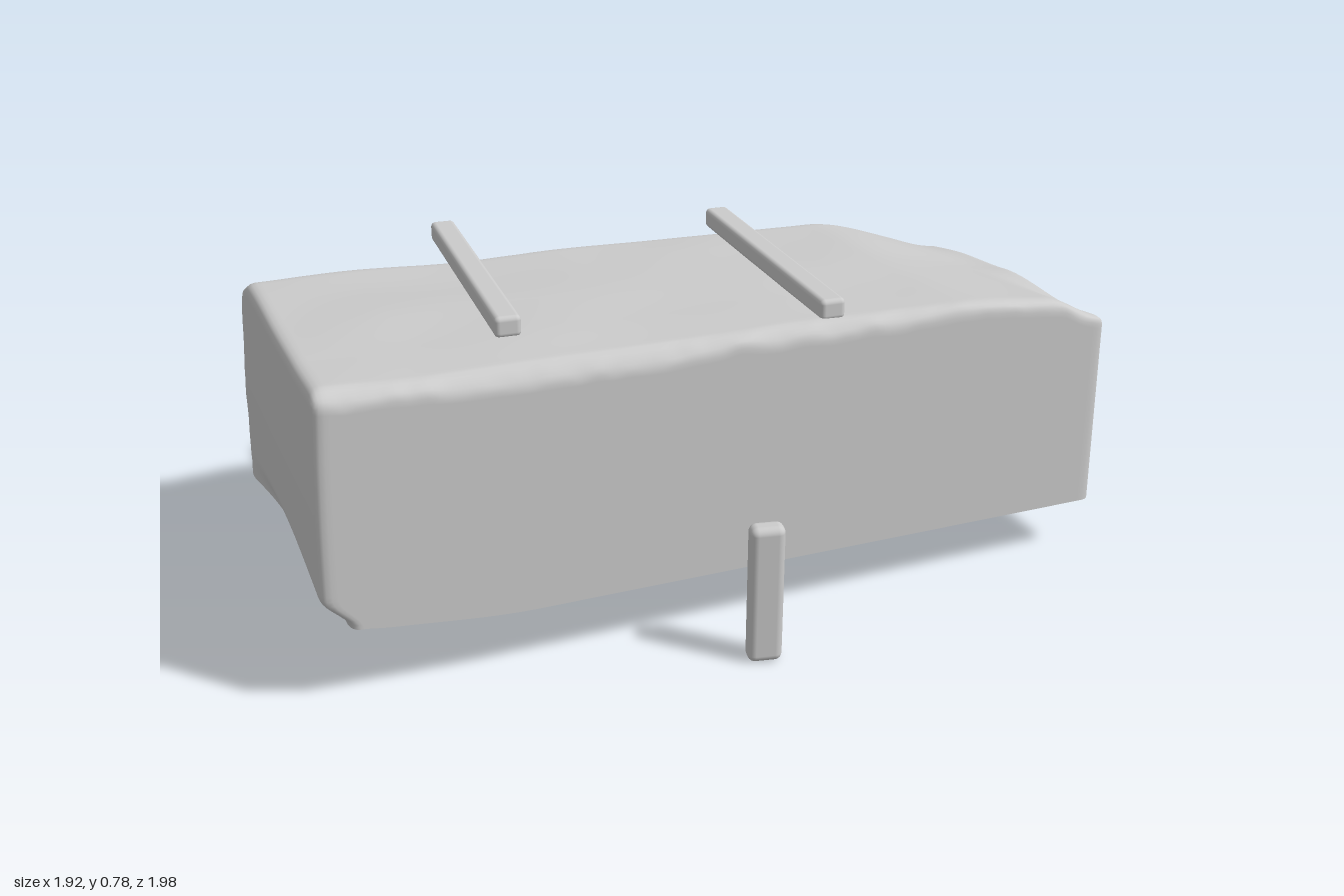
import * as THREE from 'three';
import { mergeVertices } from 'three/addons/utils/BufferGeometryUtils.js';
import { RoundedBoxGeometry } from 'three/addons/geometries/RoundedBoxGeometry.js';

const L = 1.93, H = 0.56, W = 0.91;
const lerp = THREE.MathUtils.lerp, step = THREE.MathUtils.smoothstep, clamp = THREE.MathUtils.clamp;

// seeded smooth 3D value noise, -1..1
function hash(x, y, z) {
  let n = (Math.imul(x, 374761393) + Math.imul(y, 668265263) + Math.imul(z, 1274126177)) | 0;
  n = Math.imul(n ^ (n >>> 13), 1103515245);
  return ((n ^ (n >>> 16)) >>> 0) / 2147483647.5 - 1;
}
function noise(x, y, z) {
  const i = Math.floor(x), j = Math.floor(y), k = Math.floor(z);
  const a = step(x - i, 0, 1), b = step(y - j, 0, 1), c = step(z - k, 0, 1);
  const row = (jj, kk) => lerp(hash(i, jj, kk), hash(i + 1, jj, kk), a);
  return lerp(lerp(row(j, k), row(j + 1, k), b), lerp(row(j, k + 1), row(j + 1, k + 1), b), c);
}
const rough = (x, y, z) => noise(x * 5, y * 5, z * 5) * 0.5 + noise(x * 12, y * 12, z * 12) * 0.3 + noise(x * 26, y * 26, z * 26) * 0.2;

// value at (u along the length, v across) from the four corners
const bilinear = (a, b, c, d, u, v) => lerp(lerp(a, b, v), lerp(d, c, v), u);

// unit block (u, h, v in 0..1) to the tilted, weathered stone
function toStone(u, h, v) {
  let x = bilinear(-0.95, -0.27, 0.955, 0.34, u, v);
  let z = bilinear(0.41, 0.995, -0.5, -0.985, u, v);
  const endArch = 0.05 * Math.sin(Math.PI * clamp(v, 0, 1)) * (1 - step(u, 0, 0.12));
  const dip = 0.03 * step(u, 0.7, 0.85) * (1 - step(u, 0.85, 1)) * (1 - v);
  const bottom = bilinear(0.155, 0.165, 0.135, 0.12, u, v) + 0.035 * v * (1 - step(u, 0, 0.25)) - dip + endArch;
  let top = bilinear(0.71, 0.755, 0.715, 0.68, u, v);
  top -= step(u, 0.78, 1) * lerp(0.11, 0.03, v);                 // worn far end
  top -= step(u, 0.92, 1) * 0.05 * step(v, 0.5, 0.9);            // chipped far corner
  top -= 0.025 * (1 - step(v, 0, 0.12));                         // broken back edge
  const n = rough(u * 2, h * 0.6, v);
  top += 0.006 * noise(u * 7, 3, v * 4);
  top -= 0.02 * step(v, 0.95, 1) * (0.5 + n);
  const y = lerp(bottom, top, h) + 0.01 * n * (1 - step(v, 0, 0.12)) * (h > 0.1 ? 1 : 0);
  // quarried back face pushed in and out across the block
  const back = (1 - step(v, 0, 0.1)) * (0.032 * n - 0.012 * Math.sin(Math.PI * clamp(h, 0, 1)) + 0.02 * step(h, 0.8, 1));
  // the ends lean and swell slightly
  const farLean = step(u, 0.9, 1) * (0.015 - lerp(0.045, 0.012, v) * h);
  const nearLean = (1 - step(u, 0, 0.08)) * (0.02 * h * h + 0.06 * (1 - step(h, 0, 0.15)) * v);
  x += back * 0.776 + (farLean + nearLean) * 0.63;
  z += back * 0.63 - (farLean + nearLean) * 0.776;
  return [x, y, z];
}

function remap(geo, rule) {
  const p = geo.attributes.position;
  for (let i = 0; i < p.count; i++) p.setXYZ(i, ...rule(p.getX(i), p.getY(i), p.getZ(i)));
  geo.deleteAttribute('normal');
  geo.deleteAttribute('uv');
  const out = mergeVertices(geo, 1e-5);
  out.computeVertexNormals();
  return out;
}

// hollow shell, open underneath, with softened edges
function stoneShell() {
  const geo = new THREE.BoxGeometry(L, H, W, 150, 48, 70);
  const bottomFace = geo.groups[3];
  const index = Array.from(geo.index.array);
  index.splice(bottomFace.start, bottomFace.count);
  geo.setIndex(index);
  geo.clearGroups();
  const r = 0.025, q = new THREE.Vector3(), d = new THREE.Vector3();
  return remap(geo, (x, y, z) => {
    q.set(clamp(x, -L / 2 + r, L / 2 - r), Math.min(y, H / 2 - r), clamp(z, -W / 2 + r, W / 2 - r));
    d.set(x, y, z).sub(q);
    if (d.length() > r) d.setLength(r);
    q.add(d);
    return toStone(q.x / L + 0.5, q.y / H + 0.5, q.z / W + 0.5);
  });
}

// curved remnant of the underside at the far end
function undersideLip() {
  return remap(new THREE.PlaneGeometry(1, 1, 12, 40), (a, b) => {
    const v = lerp(0.012, 0.988, b + 0.5);
    const depth = 0.13 + 0.1 * Math.pow(2 * v - 1, 4);
    return toStone(1 - 0.006 - depth * (0.5 - a), 0.002, v);
  });
}

export function createModel() {
  const group = new THREE.Group();
  const mat = new THREE.MeshStandardMaterial({ color: 0xcccccc, side: THREE.DoubleSide });
  const add = (name, geo) => {
    const m = new THREE.Mesh(geo, mat);
    m.name = name;
    group.add(m);
    return m;
  };

  add('stoneBlock', stoneShell());
  add('undersideLip', undersideLip());

  // bar laid between two points of its centre line
  function bar(name, from, to, width, height) {
    const a = new THREE.Vector3(...from), b = new THREE.Vector3(...to);
    const geo = new RoundedBoxGeometry(width, height, a.distanceTo(b), 3, 0.012);
    const m = add(name, geo);
    m.position.copy(a).add(b).multiplyScalar(0.5);
    m.lookAt(b);
  }
  bar('topBarNear', [-0.635, 0.732, -0.035], [-0.1, 0.76, 0.495], 0.06, 0.05);
  bar('topBarFar', [-0.085, 0.72, -0.49], [0.47, 0.745, 0.035], 0.06, 0.05);

  // loose upright peg beside the block
  const peg = add('uprightPeg', new RoundedBoxGeometry(0.08, 0.345, 0.05, 4, 0.018));
  peg.position.set(0.46, 0.1725, 0.345);
  peg.rotation.y = 0.67;

  return group;
}
